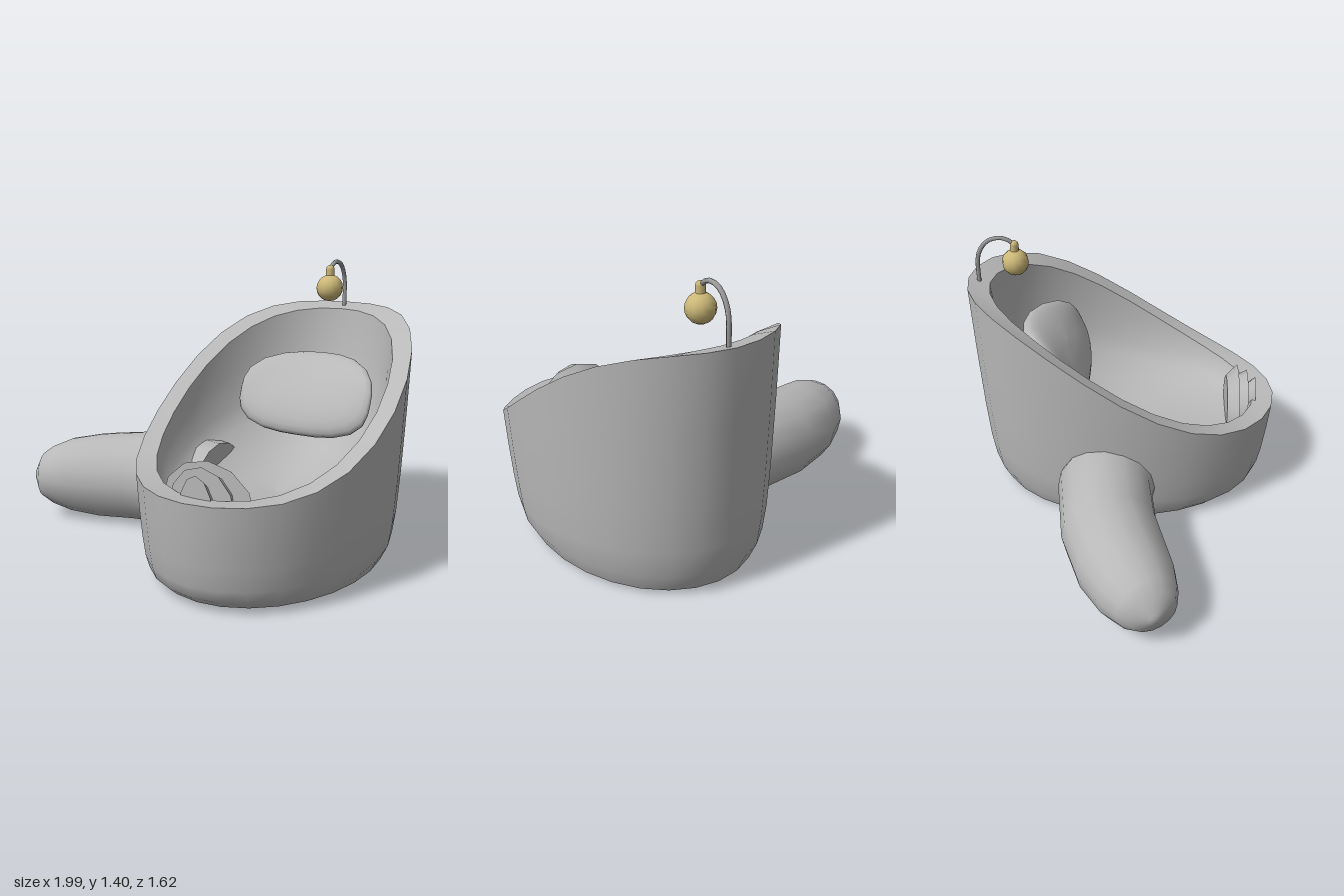
import * as THREE from 'three';

const SEG = 28, CX = 0.41;

// Skin a list of closed rings (each an array of Vector3) with smooth normals
function loft(rings) {
  const n = rings[0].length, pos = [], idx = [];
  rings.forEach(r => r.forEach(p => pos.push(p.x, p.y, p.z)));
  for (let i = 0; i < rings.length - 1; i++) {
    for (let j = 0; j < n; j++) {
      const a = i * n + j, b = i * n + (j + 1) % n;
      idx.push(a, a + n, b, b, a + n, b + n);
    }
  }
  const g = new THREE.BufferGeometry();
  g.setAttribute('position', new THREE.Float32BufferAttribute(pos, 3));
  g.setIndex(idx);
  g.computeVertexNormals();
  return g;
}

// Height of the sloping rim: low at the front, high at the back
function rimHeight(z) {
  const u = Math.pow(THREE.MathUtils.clamp((0.81 - z) / 1.62, 0, 1), 1.12);
  return 0.5 + 0.665 * u * u * (3 - 2 * u);
}

// Elliptical ring; heightAt receives the unit sine toward +z
function ellipse(rx, rz, heightAt) {
  return Array.from({ length: SEG }, (_, j) => {
    const a = j / SEG * Math.PI * 2 + Math.PI / 2;
    const s = Math.sin(a);
    return new THREE.Vector3(CX + rx * Math.cos(a), heightAt(s), rz * s);
  });
}

export function createModel() {
  const group = new THREE.Group();
  const mat = (name, color) => {
    const m = new THREE.MeshStandardMaterial({ color });
    m.name = name;
    return m;
  };
  const stone = mat('grey body', 0xb8b8b8);
  const metal = mat('grey metal', 0x9a9a9a);
  const brass = mat('pale brass', 0xccb878);
  const add = (name, geometry, material, parent = group) => {
    const m = new THREE.Mesh(geometry, material);
    m.name = name;
    parent.add(m);
    return m;
  };

  // Tub: base, outer wall, rim and hollow
  const tub = new THREE.Group();
  tub.name = 'tub';
  group.add(tub);
  const outer = (scale, t) => ellipse(0.585 * scale, 0.81 * scale,
    s => 0.02 + (rimHeight(0.81 * s) - 0.02) * t);
  const innerRim = s => rimHeight(0.7 * s) - 0.015;
  const hollow = (rho, k) => ellipse(0.5 * rho, 0.7 * rho,
    s => 0.32 + (innerRim(s) - 0.32) * k);
  add('tubBase', loft([outer(0, 0), outer(0.865, 0)]), stone, tub);
  add('tubWall', loft([[0.865, 0], [0.92, 0.08], [0.945, 0.2], [0.965, 0.4],
    [0.985, 0.7], [1, 1]].map(p => outer(...p))), stone, tub);
  add('tubRim', loft([outer(1, 1), hollow(1, 1)]), stone, tub);
  add('tubHollow', loft([[1, 1], [0.97, 0.75], [0.9, 0.48], [0.8, 0.32], [0.6, 0.16],
    [0.35, 0.05], [0, 0]].map(p => hollow(...p))), stone, tub);

  // Tail: round sections [x, y, z, radius] along a bent path, closed at both ends
  const path = [[0.09, 0.26, 0, 0.25], [-0.16, 0.255, -0.085, 0.245], [-0.45, 0.24, -0.045, 0.238],
    [-0.65, 0.228, 0.025, 0.228], [-0.8, 0.225, 0.1, 0.2], [-0.89, 0.222, 0.15, 0.16],
    [-0.94, 0.22, 0.175, 0.12], [-0.98, 0.22, 0.19, 0.03], [-0.982, 0.22, 0.191, 0]];
  const tailRing = (i, scale = 1) => {
    const [x, y, z, r] = path[i];
    const p = path[Math.max(i - 1, 0)], q = path[Math.min(i + 1, path.length - 1)];
    const d = new THREE.Vector3(q[0] - p[0], 0, q[2] - p[2]).normalize();
    if (i === 0) d.set(-1, 0, 0);
    return Array.from({ length: 16 }, (_, j) => {
      const a = j / 16 * Math.PI * 2, c = Math.cos(a) * r * scale;
      return new THREE.Vector3(x - d.z * c, y + Math.sin(a) * r * scale, z + d.x * c);
    });
  };
  add('tail', loft(path.map((_, i) => tailRing(i))), stone);
  add('tailInnerEnd', loft([tailRing(0, 0), tailRing(0)]), stone);

  // Cushion: squared-off disc leaning back, its upper half curved round the wall
  const cushion = new THREE.SphereGeometry(1, 24, 14);
  cushion.rotateX(Math.PI / 2);
  const cp = cushion.attributes.position;
  for (let i = 0; i < cp.count; i++) {
    let u = cp.getX(i), v = cp.getY(i);
    const w = cp.getZ(i), len = Math.hypot(u, v);
    if (len > 1e-4) {
      const sq = len / Math.pow(Math.abs(u) ** 3 + Math.abs(v) ** 3, 1 / 3);
      u *= sq;
      v *= sq;
    }
    cp.setXYZ(i, CX + 0.36 * u, 0.74 + 0.18 * v + 0.06 * w,
      -0.37 - 0.165 * v + 0.06 * w + 0.09 * u * u * (1 + v));
  }
  cushion.computeVertexNormals();
  add('cushion', cushion, stone);

  // Stepped fan at the front: three flaring tiers [zFront, zBack, rFront, rBack, widen]
  [[0.71, 0.665, 0.17, 0.13, 0.5], [0.665, 0.615, 0.195, 0.165, 0.85],
    [0.615, 0.555, 0.21, 0.15, 1.12]].forEach(([zf, zb, rf, rb, widen]) => {
    const g = new THREE.CylinderGeometry(rf, rb, zf - zb, 12);
    g.rotateX(Math.PI / 2);
    g.scale(widen, 1, 1);
    add('fanTier', g, stone).position.set(CX, 0.42, (zf + zb) / 2);
  });

  // Curved stalk with a hanging bauble
  const stalk = new THREE.CatmullRomCurve3([[1.14, -0.755], [1.3, -0.745], [1.375, -0.69],
    [1.388, -0.61], [1.36, -0.565]].map(([y, z]) => new THREE.Vector3(CX, y, z)));
  add('stalk', new THREE.TubeGeometry(stalk, 12, 0.011, 8), metal);
  add('bauble', new THREE.SphereGeometry(0.068, 12, 10), brass).position.set(CX, 1.26, -0.56);
  add('baubleNeck', new THREE.CapsuleGeometry(0.022, 0.04, 3, 10), brass).position.set(CX, 1.335, -0.56);

  return group;
}
